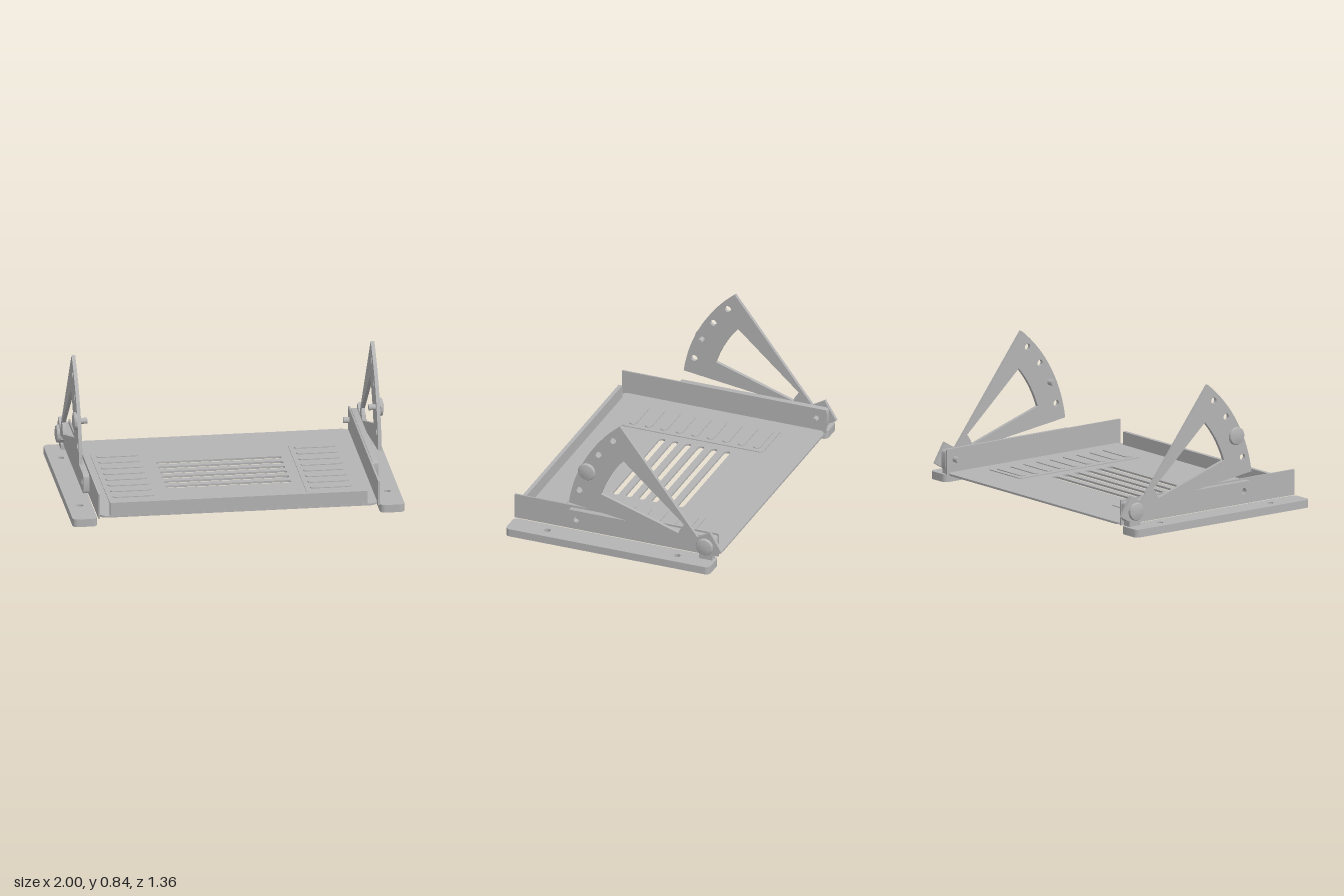
import * as THREE from 'three';
import { toCreasedNormals } from 'three/addons/utils/BufferGeometryUtils.js';

const metal = new THREE.MeshStandardMaterial({ color: 0xb3b3b3 });
metal.name = 'grey metal';

// Rounded rectangle outline
function roundRect(x0, y0, x1, y1, r, Type = THREE.Shape) {
  const s = new Type();
  s.moveTo(x0 + r, y0);
  s.lineTo(x1 - r, y0);
  s.absarc(x1 - r, y0 + r, r, -Math.PI / 2, 0);
  s.lineTo(x1, y1 - r);
  s.absarc(x1 - r, y1 - r, r, 0, Math.PI / 2);
  s.lineTo(x0 + r, y1);
  s.absarc(x0 + r, y1 - r, r, Math.PI / 2, Math.PI);
  s.lineTo(x0, y0 + r);
  s.absarc(x0 + r, y0 + r, r, Math.PI, Math.PI * 1.5);
  return s;
}

const circle = (x, y, r) => new THREE.Path().absarc(x, y, r, 0, Math.PI * 2);

function extrude(shape, depth) {
  return new THREE.ExtrudeGeometry(shape, { depth, bevelEnabled: false, curveSegments: 16 });
}

// Outline in (x, -z), raised from y0 to y1
function slab(shape, y0, y1) {
  return toCreasedNormals(extrude(shape, y1 - y0).rotateX(-Math.PI / 2).translate(0, y0, 0), 0.6);
}

// Outline in (z, y), thick from |x| = xa to xb on side s
function sideSlab(shape, s, xa, xb) {
  const right = s > 0 ? xb : -xa;
  return toCreasedNormals(extrude(shape, xb - xa).rotateY(-Math.PI / 2).translate(right, 0, 0), 0.6);
}

function box(x0, x1, y0, y1, z0, z1) {
  return new THREE.BoxGeometry(x1 - x0, y1 - y0, z1 - z0)
    .translate((x0 + x1) / 2, (y0 + y1) / 2, (z0 + z1) / 2);
}

// Pivot of the sector plates, in (z, y)
const PZ = -0.574, PY = 0.146;
const polar = (r, deg) => {
  const a = THREE.MathUtils.degToRad(deg);
  return [PZ + r * Math.cos(a), PY + r * Math.sin(a)];
};
const rad = THREE.MathUtils.degToRad;

// Fan-shaped angle plate with window, pin holes and square tail
function sectorShape() {
  const s = new THREE.Shape();
  s.moveTo(...polar(0.886, 7.8));
  s.absarc(PZ, PY, 0.886, rad(7.8), rad(51.85));
  for (const p of [[-0.526, 0.197], [-0.606, 0.244], [-0.68, 0.123], [-0.6, 0.077],
    [-0.55, 0.1], [-0.505, 0.13], [-0.505, 0.16]]) s.lineTo(...p);
  s.closePath();
  const w = new THREE.Path();
  w.moveTo(...polar(0.705, 18));
  w.absarc(PZ, PY, 0.705, rad(18), rad(41.8));
  w.lineTo(...polar(0.18, 41.8));
  w.absarc(PZ, PY, 0.18, rad(41.8), rad(18), true);
  w.closePath();
  s.holes.push(w);
  for (const a of [15, 35, 45]) s.holes.push(circle(...polar(0.838, a), 0.02));
  return s;
}

// Domed knob with a shaft pointing inward
function knob(s, z, y, shaftEnd) {
  const g = new THREE.Group();
  const pts = [[0, 0], [0.054, 0], [0.054, 0.012], [0.05, 0.018], [0.03, 0.023], [0, 0.025]]
    .map(p => new THREE.Vector2(...p));
  const head = toCreasedNormals(new THREE.LatheGeometry(pts, 40), 0.6)
    .rotateZ(-s * Math.PI / 2).translate(s * 0.912, y, z);
  const shaft = new THREE.CylinderGeometry(0.018, 0.018, 0.912 - shaftEnd, 24)
    .rotateZ(Math.PI / 2).translate(s * (0.912 + shaftEnd) / 2, y, z);
  g.add(named('knobHead', head), named('knobShaft', shaft));
  return g;
}

function named(name, geo) {
  const m = new THREE.Mesh(geo, metal);
  m.name = name;
  return m;
}

export function createModel() {
  const model = new THREE.Group();
  model.name = 'adjustableTray';
  const add = (name, geo, parent = model) => parent.add(named(name, geo));

  // Tray floor with six vent slots
  const floor = roundRect(-0.84, -0.677, 0.84, 0.637, 0.05);
  for (let i = 0; i < 6; i++) {
    const z = -0.193 + i * 0.084;
    floor.holes.push(roundRect(-0.38, -z - 0.0195, 0.375, -z + 0.0195, 0.0194, THREE.Path));
  }
  add('trayFloor', slab(floor, 0.058, 0.07));
  add('frontLip', box(-0.775, 0.775, 0.06, 0.15, 0.652, 0.676));

  for (const s of [1, -1]) {
    const side = new THREE.Group();
    side.name = s > 0 ? 'leftSide' : 'rightSide';
    model.add(side);

    // Ribbed pad on the tray floor
    const c = s * 0.595;
    add('pad', slab(roundRect(c - 0.155, -0.52, c + 0.155, 0.39, 0.02), 0.07, 0.075), side);
    for (let i = 0; i < 9; i++) {
      const z = -0.335 + i * 0.1;
      add('padRib', slab(roundRect(c - 0.125, -z - 0.022, c + 0.125, -z + 0.022, 0.0215), 0.075, 0.08), side);
    }

    // Tray wall
    add('sideWall', sideSlab(roundRect(-0.635, 0.057, 0.68, 0.213, 0.003), s, 0.837, 0.848), side);

    // Base rail with screw holes and feet
    const x0 = s > 0 ? 0.852 : -1, x1 = s > 0 ? 1 : -0.852;
    const rail = roundRect(x0, -0.68, x1, 0.637, 0.03);
    for (const z of [-0.4, 0.437]) rail.holes.push(circle(s * 0.925, -z, 0.02));
    add('baseRail', slab(rail, 0.008, 0.056), side);
    for (const z of [0.595, 0.206, -0.155, -0.544]) {
      add('foot', box(s * 0.927 - 0.038, s * 0.927 + 0.038, 0, 0.009, z - 0.059, z + 0.059), side);
    }

    // Support bar on its post
    const bar = roundRect(-0.635, 0.085, 0.325, 0.204, 0.02);
    bar.holes.push(circle(0.265, 0.145, 0.019));
    add('supportBar', sideSlab(bar, s, 0.853, 0.889), side);
    add('hingePost', box(s * 0.88 - 0.025, s * 0.88 + 0.025, 0.055, 0.09, -0.617, -0.532), side);

    // Angle plate with its pivot and locking knobs
    add('anglePlate', sideSlab(sectorShape(), s, 0.89, 0.912), side);
    const pivot = knob(s, PZ, PY, 0.8);
    pivot.name = 'pivotKnob';
    const [lz, ly] = polar(0.838, 25);
    const lock = knob(s, lz, ly, 0.848);
    lock.name = 'lockingKnob';
    side.add(pivot, lock);
  }
  return model;
}
